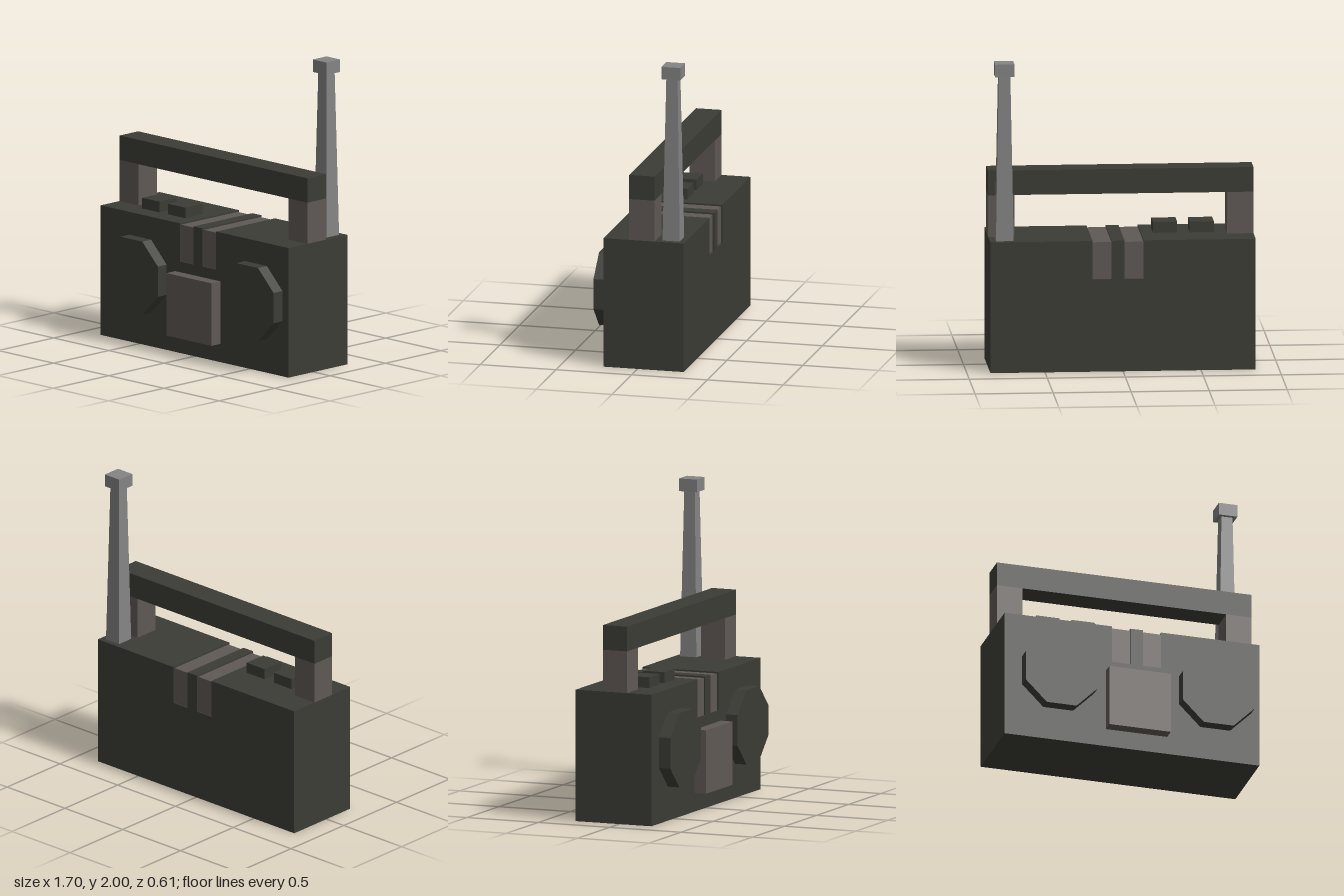
import * as THREE from 'three';

export function createModel() {
  const model = new THREE.Group();
  model.name = 'portableRadio';

  const material = (name, color) => {
    const m = new THREE.MeshStandardMaterial({ color });
    m.name = name;
    return m;
  };
  const dark = material('dark olive', 0x3c3c36);
  const brown = material('warm grey brown', 0x605955);
  const grey = material('antenna grey', 0x848484);

  const add = (name, geometry, mat) => {
    const mesh = new THREE.Mesh(geometry, mat);
    mesh.name = name;
    model.add(mesh);
    return mesh;
  };
  // Box given by its lower and upper limits on each axis
  const box = (name, mat, [x0, x1], [y0, y1], [z0, z1]) => {
    const mesh = add(name, new THREE.BoxGeometry(x1 - x0, y1 - y0, z1 - z0), mat);
    mesh.position.set((x0 + x1) / 2, (y0 + y1) / 2, (z0 + z1) / 2);
    return mesh;
  };

  const front = 0.225, back = -0.305, top = 0.85, slotFloor = 0.6;
  const slots = [[-0.132, -0.01], [0.073, 0.195]];

  // Case: front outline with two slots cut down from the top
  const outline = new THREE.Shape();
  outline.moveTo(-0.85, top);
  outline.lineTo(-0.85, 0);
  outline.lineTo(0.85, 0);
  outline.lineTo(0.85, top);
  for (const [x0, x1] of [...slots].reverse()) {
    outline.lineTo(x1, top);
    outline.lineTo(x1, slotFloor);
    outline.lineTo(x0, slotFloor);
    outline.lineTo(x0, top);
  }
  const caseGeometry = new THREE.ExtrudeGeometry(outline, { depth: front - back, bevelEnabled: false });
  add('case', caseGeometry.translate(0, 0, back), dark);

  // Slightly recessed bands filling the slots
  for (const slot of slots) {
    box('band', brown, slot, [slotFloor, top - 0.01], [back + 0.01, front - 0.01]);
  }

  // Octagonal speakers
  for (const x of [-0.493, 0.555]) {
    const r = 0.24 / Math.cos(Math.PI / 8);
    const geometry = new THREE.CylinderGeometry(r, r, 0.08, 8).toNonIndexed();
    geometry.computeVertexNormals();
    geometry.rotateY(Math.PI / 8).rotateX(Math.PI / 2);
    add('speaker', geometry, dark).position.set(x, 0.46, front + 0.04);
  }

  // Cassette door
  box('cassetteDoor', brown, [-0.175, 0.235], [0.12, 0.53], [front, 0.305]);

  // Push buttons
  for (const x of [-0.6, -0.365]) {
    box('button', dark, [x, x + 0.155], [top, 0.92], [-0.055, 0.1]);
  }

  // Carrying handle on two posts
  const handleDepth = [-0.113, 0.055];
  box('handleBar', dark, [-0.85, 0.85], [1.12, 1.28], handleDepth);
  for (const x of [[-0.85, -0.68], [0.68, 0.85]]) {
    box('handlePost', brown, x, [top, 1.12], handleDepth);
  }

  // Tapered square antenna with a cap
  const mast = new THREE.CylinderGeometry(0.037 * Math.SQRT2, 0.057 * Math.SQRT2, 1.07, 4).toNonIndexed();
  mast.computeVertexNormals();
  add('antennaMast', mast.rotateY(Math.PI / 4), grey).position.set(0.755, 1.385, -0.212);
  box('antennaCap', grey, [0.693, 0.817], [1.918, 2], [-0.274, -0.15]);

  return model;
}
